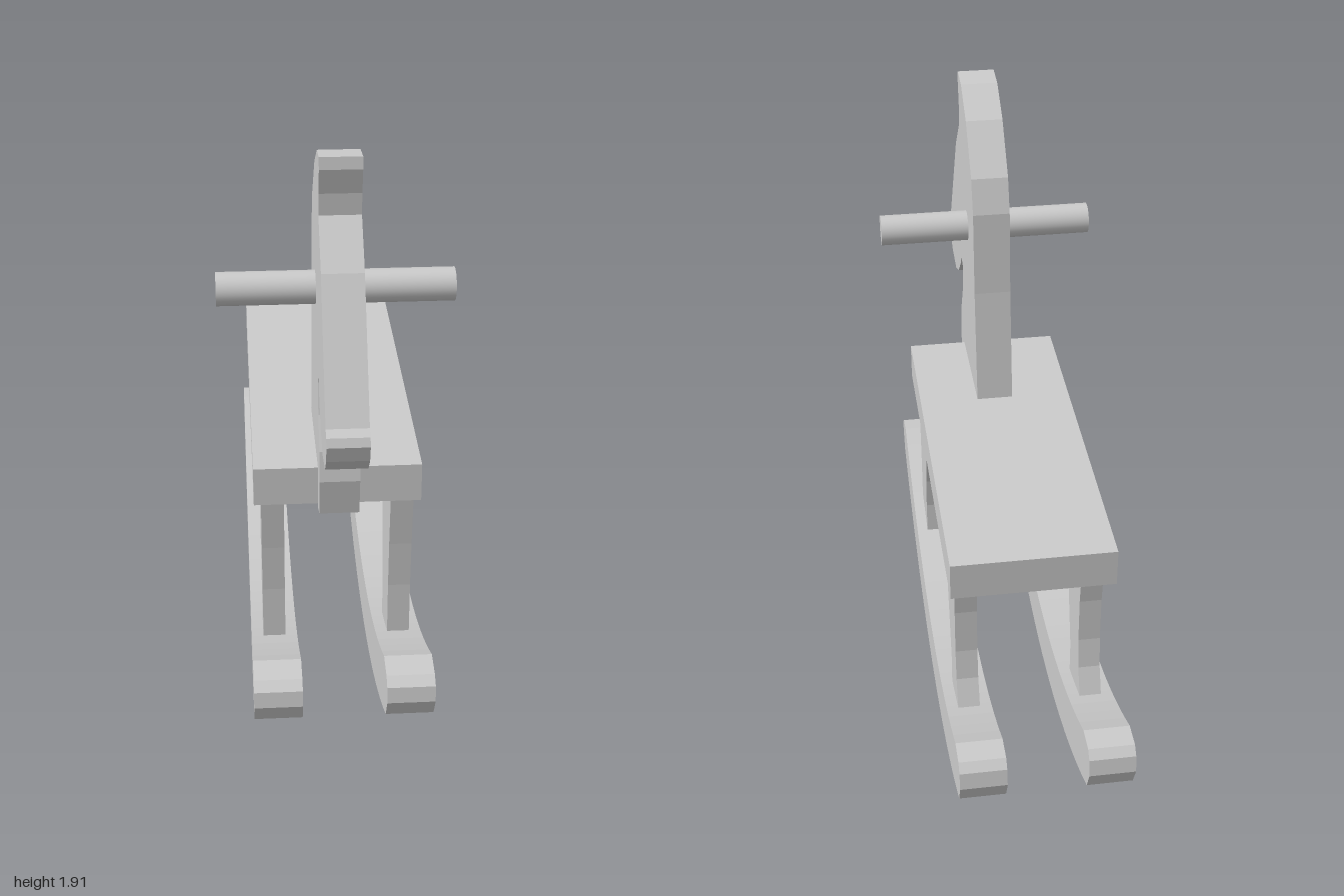
import * as THREE from 'three';

const material = new THREE.MeshStandardMaterial({ color: 0xcccccc });

function addMesh(parent, name, geometry, x = 0, y = 0, z = 0) {
  const mesh = new THREE.Mesh(geometry, material);
  mesh.name = name;
  mesh.position.set(x, y, z);
  parent.add(mesh);
  return mesh;
}

// Board cut from a side outline of [z, y] points, centred across x
function board(points, thickness) {
  const shape = new THREE.Shape(points.map(([z, y]) => new THREE.Vector2(z, y)));
  const geometry = new THREE.ExtrudeGeometry(shape, { depth: thickness, bevelEnabled: false });
  geometry.translate(0, 0, -thickness / 2);
  geometry.rotateY(-Math.PI / 2);
  return geometry;
}

// Points on an upward-curving arc whose lowest point is (midZ, lowY)
function arc(midZ, lowY, radius, fromZ, toZ, steps) {
  const a = Math.asin((fromZ - midZ) / radius);
  const b = Math.asin((toZ - midZ) / radius);
  return Array.from({ length: steps + 1 }, (_, i) => {
    const t = a + (b - a) * i / steps;
    return [midZ + radius * Math.sin(t), lowY + radius * (1 - Math.cos(t))];
  });
}

const headOutline = [
  // ear and back of the neck
  [0.66, 1.91], [0.57, 1.9], [0.445, 1.825], [0.315, 1.68], [0.275, 1.57], [0.257, 1.29], [0.205, 0.9],
  // notch over the seat, then the chest
  [0.585, 0.9], [0.585, 0.765], [0.66, 0.79], [0.68, 0.91], [0.665, 1.005], [0.615, 1.1],
  // throat and jaw
  [0.59, 1.195], [0.605, 1.22], [0.645, 1.22], [0.66, 1.19], [0.735, 1.12], [0.82, 1.085], [0.94, 1.105],
  // nose, forehead and front of the ear
  [0.985, 1.155], [1, 1.205], [0.99, 1.23], [0.965, 1.245], [0.755, 1.61], [0.64, 1.735], [0.645, 1.8], [0.665, 1.875],
];

const frontLegOutline = [
  [0.575, 0.79], [0.555, 0.605], [0.545, 0.445], [0.545, 0.25],
  [0.375, 0.21], [0.38, 0.335], [0.365, 0.455], [0.275, 0.79],
];

const backLegOutline = [
  [-0.31, 0.79], [-0.41, 0.455], [-0.445, 0.335], [-0.445, 0.21],
  [-0.63, 0.27], [-0.59, 0.365], [-0.575, 0.47], [-0.575, 0.63], [-0.595, 0.79],
];

const rockerOutline = [
  ...arc(-0.03, 0.18, 1.92, 0.825, -0.885, 24),
  [-0.965, 0.38], [-0.99, 0.355], [-1, 0.3],
  ...arc(-0.03, 0, 2.055, -0.965, 0.905, 24),
  [0.943, 0.295], [0.935, 0.345], [0.905, 0.368],
];

export function createModel() {
  const model = new THREE.Group();
  model.name = 'rockingHorse';

  addMesh(model, 'head', board(headOutline, 0.12));
  addMesh(model, 'seat', new THREE.BoxGeometry(0.51, 0.125, 1.265), 0, 0.8425, -0.0475);

  // Round handle through the head
  const handle = new THREE.CylinderGeometry(0.05, 0.05, 0.7, 32);
  handle.rotateZ(Math.PI / 2);
  addMesh(model, 'handle', handle, 0, 1.443, 0.46);

  // Legs and rocker on each side
  for (const [side, sign] of [['left', 1], ['right', -1]]) {
    const group = new THREE.Group();
    group.name = side + 'Side';
    addMesh(group, side + 'FrontLeg', board(frontLegOutline, 0.07), sign * 0.198);
    addMesh(group, side + 'BackLeg', board(backLegOutline, 0.07), sign * 0.198);
    addMesh(group, side + 'Rocker', board(rockerOutline, 0.145), sign * 0.198);
    model.add(group);
  }
  return model;
}
